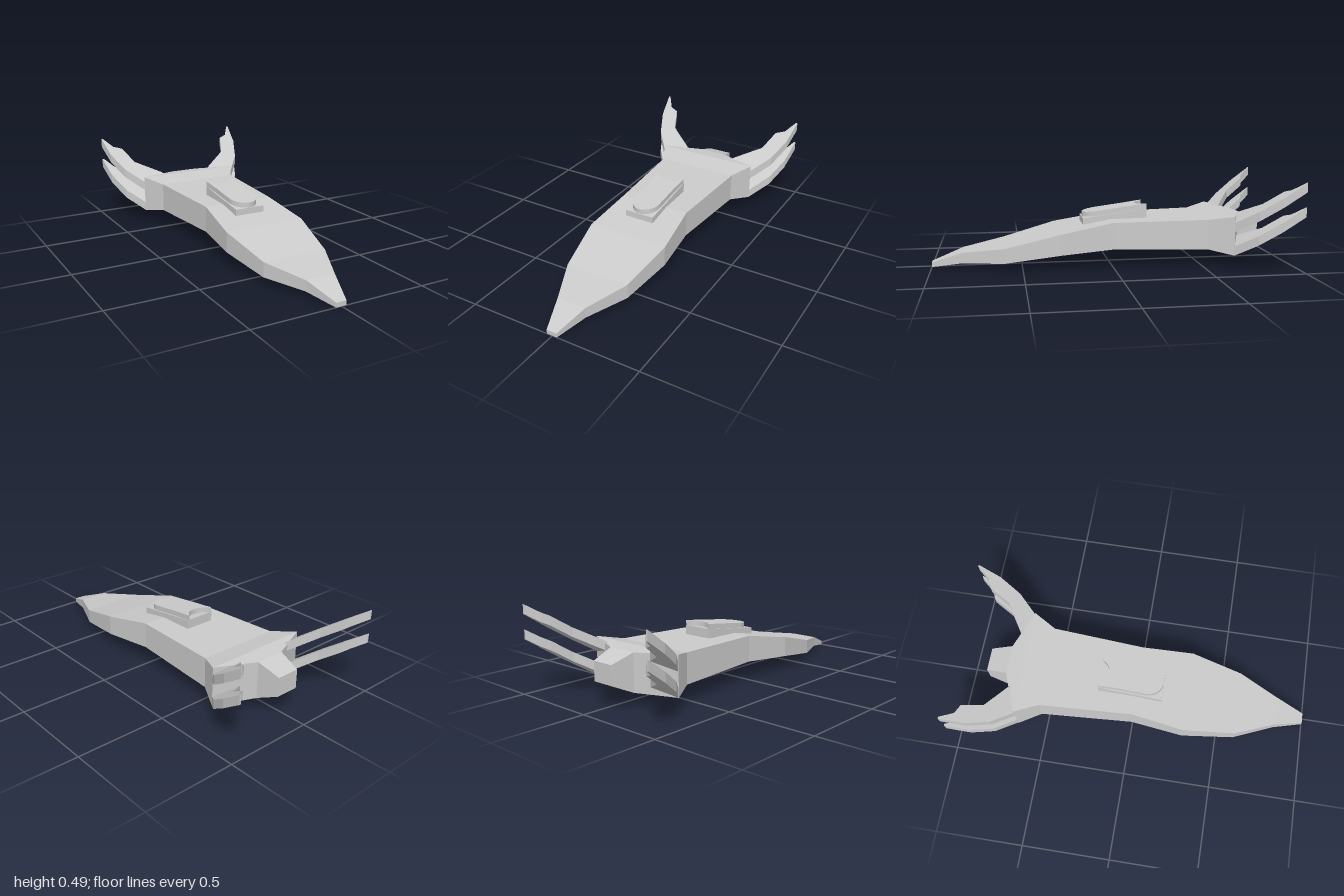
import * as THREE from 'three';

const material = new THREE.MeshStandardMaterial({ color: 0xcccccc, flatShading: true });

function part(name, geometry) {
  const mesh = new THREE.Mesh(geometry, material);
  mesh.name = name;
  geometry.computeVertexNormals();
  return mesh;
}

// Solid lofted through rectangular sections [z, halfWidth, bottom, top], front to back
function loft(sections, cx) {
  const pos = [], idx = [];
  for (const [z, w, b, t] of sections) {
    pos.push(cx - w, b, z, cx + w, b, z, cx + w, t, z, cx - w, t, z);
  }
  for (let i = 0; i < sections.length - 1; i++) {
    for (let j = 0; j < 4; j++) {
      const k = (j + 1) % 4, a = i * 4, b = a + 4;
      idx.push(a + j, b + j, b + k, a + j, b + k, a + k);
    }
  }
  const e = (sections.length - 1) * 4;
  idx.push(0, 1, 2, 0, 2, 3, e, e + 2, e + 1, e, e + 3, e + 2);
  const geometry = new THREE.BufferGeometry();
  geometry.setAttribute('position', new THREE.Float32BufferAttribute(pos, 3));
  geometry.setIndex(idx);
  return geometry.toNonIndexed();
}

// Plan-view plate (shape y = -z) of given thickness, sheared so it rises toward the back
function slopedPlate(shape, thickness, height, slope) {
  const geometry = new THREE.ExtrudeGeometry(shape, { depth: thickness, bevelEnabled: false, curveSegments: 10 });
  geometry.rotateX(-Math.PI / 2);
  const p = geometry.attributes.position;
  for (let i = 0; i < p.count; i++) p.setY(i, p.getY(i) + height(0) - slope * p.getZ(i));
  return geometry;
}

export function createModel() {
  const model = new THREE.Group();
  model.name = 'spaceship';
  const cx = -0.003;

  // Hull from pointed nose to flared stern, ending in the narrow engine block
  model.add(part('hull', loft([
    [1, 0.03, 0, 0.025],
    [0.83, 0.085, 0.028, 0.087],
    [0.6, 0.188, 0.04, 0.122],
    [0.3, 0.238, 0.085, 0.2],
    [0, 0.208, 0.105, 0.254],
    [-0.53, 0.24, 0.095, 0.263],
    [-0.66, 0.31, 0.07, 0.288],
    [-0.75, 0.085, 0.07, 0.278],
    [-0.875, 0.067, 0.128, 0.235],
  ], cx)));

  // Swept, stepped tail fins: two stacked on each side
  const fin = [
    [0.308, 0.66], [0.4, 0.765], [0.45, 0.88], [0.468, 1], [0.458, 1],
    [0.412, 0.935], [0.36, 0.915], [0.317, 0.81], [0.17, 0.715], [0.15, 0.69],
  ];
  const finSlope = 0.685;
  for (const [side, sx] of [['left', 1], ['right', -1]]) {
    const shape = new THREE.Shape(fin.map(([x, y]) => new THREE.Vector2(cx / 2 + sx * x, y)));
    for (const [level, base] of [['Lower', 0.07], ['Upper', 0.203]]) {
      model.add(part(side + level + 'Fin',
        slopedPlate(shape, 0.052, () => base - finSlope * 0.66, finSlope)));
    }
  }

  // Cockpit base, a wedge resting on the deck
  const cockpitX = -0.014, slope = 0.132;
  model.add(part('cockpitBase', loft([
    [0.155, 0.088, 0.224, 0.262],
    [-0.21, 0.088, 0.24, 0.31],
  ], cockpitX)));

  // Canopy plate with rounded front and a scooped rear edge
  const w = 0.08;
  const canopy = new THREE.Shape();
  canopy.moveTo(cockpitX - 0.086, 0.21);
  canopy.lineTo(cockpitX - w, 0.1);
  canopy.lineTo(cockpitX - w, -0.06);
  canopy.absellipse(cockpitX, -0.06, w, 0.092, Math.PI, Math.PI * 2, false, 0);
  canopy.lineTo(cockpitX + w, 0.1);
  canopy.lineTo(cockpitX + 0.086, 0.21);
  canopy.lineTo(cockpitX + 0.07, 0.205);
  canopy.bezierCurveTo(cockpitX + 0.045, 0.142, cockpitX - 0.045, 0.142, cockpitX - 0.07, 0.205);
  model.add(part('canopy', slopedPlate(canopy, 0.03, () => 0.281, slope)));

  return model;
}
